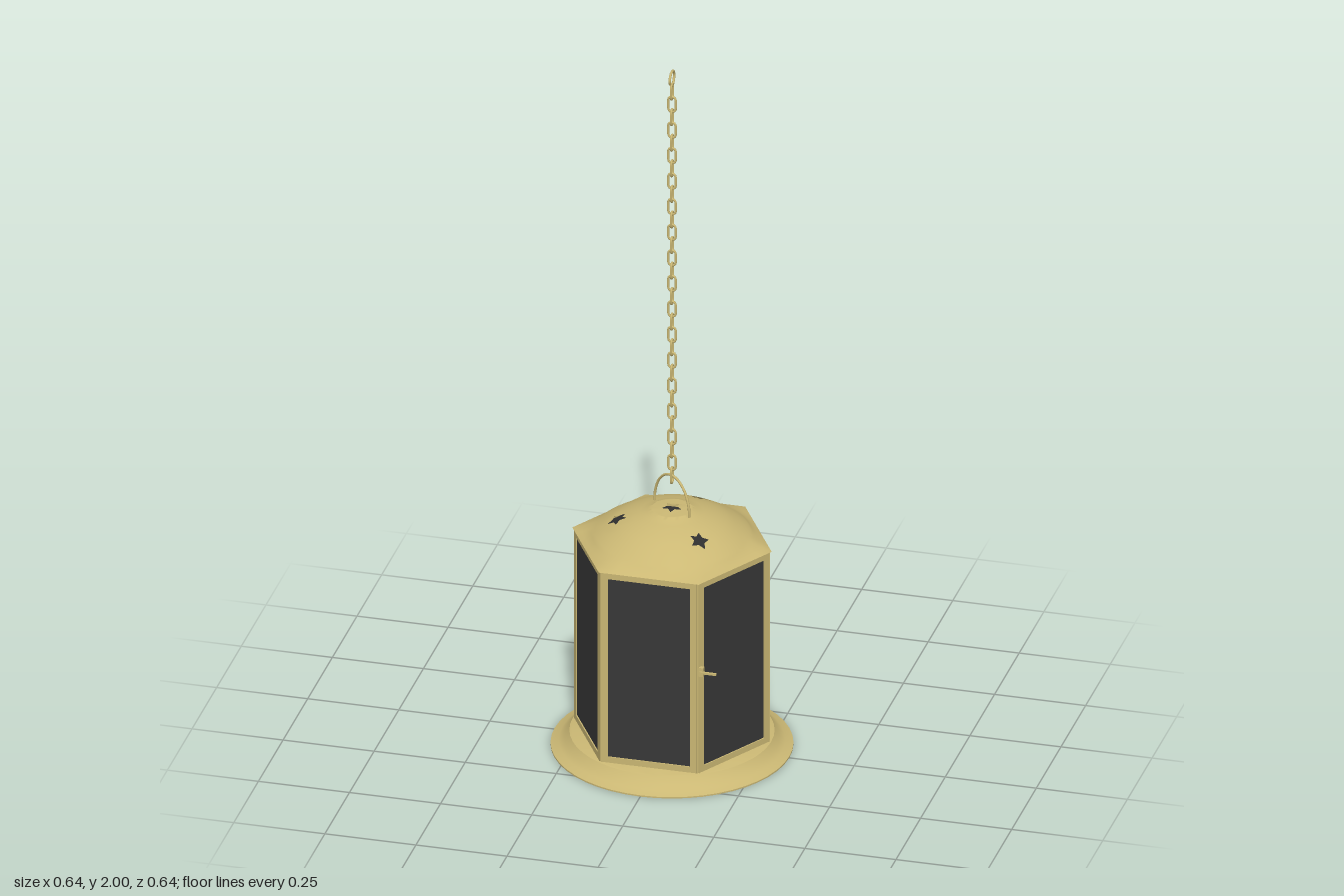
import * as THREE from 'three';
import { mergeVertices, toCreasedNormals } from 'three/addons/utils/BufferGeometryUtils.js';

const brass = new THREE.MeshStandardMaterial({ color: 0xcbb874, side: THREE.DoubleSide });
brass.name = 'brass';
const glass = new THREE.MeshStandardMaterial({ color: 0x383838 });
glass.name = 'dark glass';

const V2 = (x, y) => new THREE.Vector2(x, y);
const V3 = (x, y, z = 0) => new THREE.Vector3(x, y, z);

function add(parent, name, geometry, material = brass) {
  const mesh = new THREE.Mesh(geometry, material);
  mesh.name = name;
  parent.add(mesh);
  return mesh;
}

function wire(points, radius, closed = false, steps = 32) {
  return new THREE.TubeGeometry(new THREE.CatmullRomCurve3(points, closed), steps, radius, 8, closed);
}

// Roof: round dome that blends into a hexagonal eave, with star cut-outs
const roofProfile = [[0, 0.704], [0.055, 0.7], [0.066, 0.694], [0.105, 0.683], [0.145, 0.668],
  [0.185, 0.645], [0.205, 0.632], [0.235, 0.618], [0.27, 0.606]];

function roofHeight(r) {
  for (let i = 1; i < roofProfile.length; i++) {
    const [r0, y0] = roofProfile[i - 1], [r1, y1] = roofProfile[i];
    if (r <= r1 + 1e-6) return y0 + ((y1 - y0) * (r - r0)) / (r1 - r0);
  }
  return 0.606;
}

function roofPoint(angle, r) {
  const sixth = Math.PI / 3;
  const local = ((angle % sixth) + sixth) % sixth;
  const hex = 0.237 / Math.cos(local - sixth / 2);
  const out = r > 0.205 ? 0.205 + ((r - 0.205) / 0.065) * (hex - 0.205) : r;
  return V3(out * Math.cos(angle), roofHeight(r), out * Math.sin(angle));
}

function star(cx, cy, outer, turn) {
  const pts = [];
  for (let i = 0; i < 10; i++) {
    const r = i % 2 ? outer * 0.52 : outer;
    const a = turn + (i * Math.PI) / 5;
    pts.push(V2(cx + r * Math.cos(a), cy + r * Math.sin(a)));
  }
  return pts;
}

function roofGeometry() {
  const N = 48, step = (2 * Math.PI) / N, mid = 0.145;
  const rings = [0.055, 0.066, 0.085, 0.105, 0.125, 0.145, 0.165, 0.185, 0.205, 0.22, 0.235, 0.25, 0.27];
  const starCells = [6, 22, 38];
  const pos = [];
  const tri = (a, b, c) => {
    const up = b.clone().sub(a).cross(c.clone().sub(a)).y > 0;
    for (const p of up ? [a, b, c] : [a, c, b]) pos.push(p.x, p.y, p.z);
  };
  const patch = (contour, hole, map) => {
    const all = [...contour, ...hole].map(map);
    for (const [a, b, c] of THREE.ShapeUtils.triangulateShape(contour, [hole])) tri(all[a], all[b], all[c]);
  };

  // plain cells, leaving a block free around each star
  for (let i = 0; i < N; i++) {
    const nearStar = starCells.some((c) => i >= c - 2 && i < c + 2);
    for (let j = 0; j < rings.length - 1; j++) {
      if (nearStar && j >= 3 && j < 7) continue;
      const i2 = (i + 1) % N;
      const a = roofPoint(i * step, rings[j]), b = roofPoint(i2 * step, rings[j]);
      const c = roofPoint(i2 * step, rings[j + 1]), d = roofPoint(i * step, rings[j + 1]);
      tri(a, b, c);
      tri(a, c, d);
    }
  }
  // blocks with a star hole
  starCells.forEach((cell) => {
    const block = [];
    for (let k = -2; k < 2; k++) block.push(V2(k * step * mid, rings[3]));
    for (let j = 3; j < 7; j++) block.push(V2(2 * step * mid, rings[j]));
    for (let k = 2; k > -2; k--) block.push(V2(k * step * mid, rings[7]));
    for (let j = 7; j > 3; j--) block.push(V2(-2 * step * mid, rings[j]));
    patch(block, star(0, mid, 0.027, 0.4), (p) => roofPoint(cell * step + p.x / mid, p.y));
  });
  // top cap with a central star
  const cap = [];
  for (let i = 0; i < N; i++) cap.push(V2(rings[0] * Math.cos(i * step), rings[0] * Math.sin(i * step)));
  patch(cap, star(0, 0, 0.028, 0.2), (p) => V3(p.x, roofHeight(p.length()), p.y));

  const geo = new THREE.BufferGeometry();
  geo.setAttribute('position', new THREE.Float32BufferAttribute(pos, 3));
  const merged = mergeVertices(geo, 1e-5);
  merged.computeVertexNormals();
  return merged;
}

export function createModel() {
  const model = new THREE.Group();
  model.name = 'hangingLantern';

  // Flared base tray
  const baseProfile = [[0, 0.005], [0.266, 0.005], [0.27, 0.03], [0.297, 0.006], [0.322, 0],
    [0.322, 0.004], [0.3, 0.012], [0.285, 0.023], [0.272, 0.041], [0.266, 0.043], [0, 0.043]];
  const base = new THREE.LatheGeometry(baseProfile.map(([x, y]) => V2(x, y)), 48);
  add(model, 'base', toCreasedNormals(base, 0.6));
  add(model, 'baseNut', new THREE.BoxGeometry(0.03, 0.005, 0.03)).position.y = 0.004;
  add(model, 'baseScrew', new THREE.CylinderGeometry(0.008, 0.008, 0.004, 12), glass).position.y = 0.002;

  // Six framed glass walls with corner posts
  const frameShape = new THREE.Shape([V2(-0.131, 0.042), V2(0.131, 0.042), V2(0.131, 0.606), V2(-0.131, 0.606)]);
  frameShape.holes.push(new THREE.Path([V2(-0.113, 0.06), V2(-0.113, 0.588), V2(0.113, 0.588), V2(0.113, 0.06)]));
  const frameGeo = new THREE.ExtrudeGeometry(frameShape, { depth: 0.012, bevelEnabled: false });
  const paneGeo = new THREE.BoxGeometry(0.23, 0.532, 0.004);
  const postGeo = new THREE.CylinderGeometry(0.006, 0.006, 0.562, 8);
  for (let i = 0; i < 6; i++) {
    const wall = new THREE.Group();
    wall.name = 'wall' + (i + 1);
    wall.rotation.y = (i * Math.PI) / 3;
    add(wall, 'frame', frameGeo).position.z = 0.2218;
    add(wall, 'pane', paneGeo, glass).position.set(0, 0.324, 0.2285);
    add(wall, 'cornerPost', postGeo).position.set(0.131, 0.324, 0.227);
    model.add(wall);
  }

  // Door latch on the front left wall
  const latch = new THREE.Group();
  latch.name = 'doorLatch';
  add(latch, 'latchBar', new THREE.BoxGeometry(0.046, 0.006, 0.006)).position.set(0.162, 0.345, 0.236);
  add(latch, 'latchPlate', new THREE.BoxGeometry(0.012, 0.026, 0.012)).position.set(0.143, 0.345, 0.229);
  model.add(latch);

  add(model, 'roof', roofGeometry());

  // Wire loop on the roof
  const loop = [[-0.069, 0.698], [-0.068, 0.725], [-0.052, 0.766], [-0.025, 0.791], [0, 0.797],
    [0.025, 0.791], [0.052, 0.766], [0.068, 0.725], [0.069, 0.698]];
  add(model, 'carryLoop', wire(loop.map(([x, y]) => V3(x, y)), 0.0035)).rotation.y = -0.588;

  // Chain of alternating links
  const link = [];
  for (let i = 0; i < 12; i++) {
    const a = (i * Math.PI) / 6;
    link.push(V3(0.0105 * Math.cos(a), 0.0115 * Math.sin(a) + 0.011 * Math.sign(Math.round(Math.sin(a) * 100))));
  }
  const linkGeo = wire(link, 0.0033, true, 28);
  const chain = new THREE.Group();
  chain.name = 'chain';
  for (let i = 0; i < 31; i++) {
    const mesh = add(chain, 'chainLink', linkGeo);
    mesh.position.y = 1.938 - i * 0.038;
    mesh.rotation.y = i % 2 ? 0 : Math.PI / 2;
  }
  model.add(chain);

  // Top hook
  const hook = [[0.02, 1.968], [0.024, 1.98], [0.015, 1.993], [0, 1.997], [-0.015, 1.992],
    [-0.022, 1.978], [-0.017, 1.963], [-0.004, 1.953], [0.004, 1.957]];
  add(model, 'hook', wire(hook.map(([z, y]) => V3(0, y, z)), 0.0035));

  return model;
}
